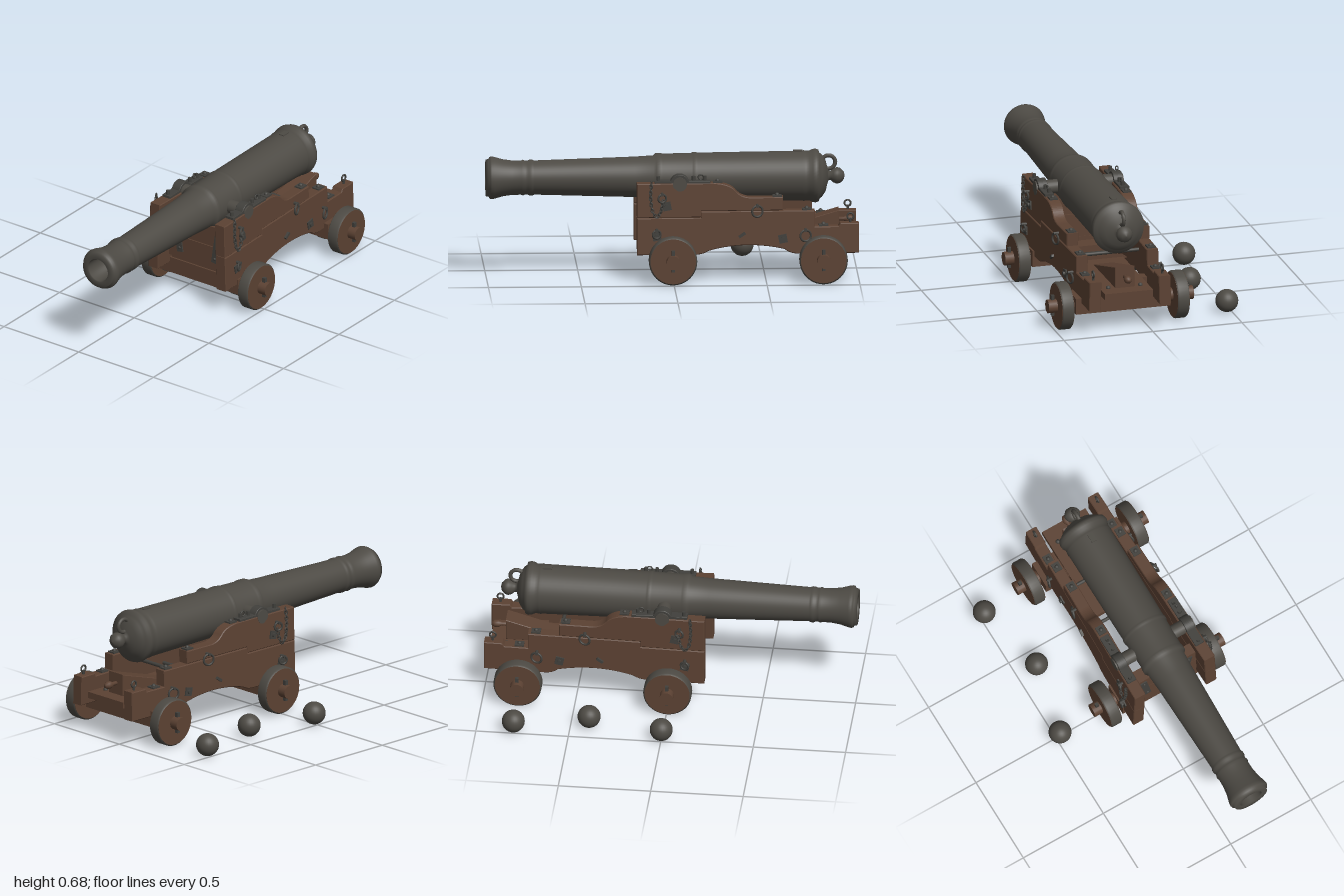
import * as THREE from 'three';

const wood = new THREE.MeshStandardMaterial({ color: 0x5c4233 });
wood.name = 'brown wood';
const iron = new THREE.MeshStandardMaterial({ color: 0x4d4a44 });
iron.name = 'grey iron';
const fitting = new THREE.MeshStandardMaterial({ color: 0x41403c });
fitting.name = 'dark iron';

const CX = 0.128, AXIS = 0.532, HALF = 0.033;

// Distance of a cheek's middle from the centre plane: cheeks taper to the rear and lean inwards
const lean = (y, z) => 0.198 + 0.025 * (z + 1) - 0.03 * (y - 0.15);
const outer = (y, z) => lean(y, z) + HALF + 0.003;

function add(parent, name, geometry, material, x = 0, y = 0, z = 0) {
  const mesh = new THREE.Mesh(geometry, material);
  mesh.name = name;
  mesh.position.set(x, y, z);
  parent.add(mesh);
  return mesh;
}
const box = (w, h, d) => new THREE.BoxGeometry(w, h, d);
const rod = (r, length, sides = 16) => new THREE.CylinderGeometry(r, r, length, sides).rotateZ(Math.PI / 2);
const ring = (r, tube) => new THREE.TorusGeometry(r, tube, 8, 20);

// Side profile in (z, y), extruded across x and centred
function profile(shape, width, bevel = 0.004) {
  const g = new THREE.ExtrudeGeometry(shape, {
    depth: width - 2 * bevel, bevelThickness: bevel, bevelSize: bevel, bevelOffset: -bevel, bevelSegments: 1, curveSegments: 10,
  });
  return g.translate(0, 0, -width / 2 + bevel).rotateY(-Math.PI / 2);
}
function cheekBoard(shape, s) {
  const g = profile(shape, HALF * 2), p = g.attributes.position;
  for (let i = 0; i < p.count; i++) p.setX(i, p.getX(i) + s * lean(p.getY(i), p.getZ(i)));
  g.computeVertexNormals();
  return g;
}
function poly(points) {
  return new THREE.Shape(points.map(([z, y]) => new THREE.Vector2(z, y)));
}

function buildBarrel(parent) {
  const outline = [
    [0, -0.932], [0.022, -0.926], [0.04, -0.908], [0.045, -0.89], [0.038, -0.87], [0.026, -0.857], [0.026, -0.845],
    [0.045, -0.838], [0.085, -0.828], [0.115, -0.808], [0.124, -0.795], [0.14, -0.79], [0.145, -0.775], [0.143, -0.757],
    [0.134, -0.74], [0.134, -0.72], [0.137, -0.71], [0.134, -0.7], [0.13, -0.3], [0.128, -0.14], [0.132, -0.13],
    [0.132, -0.115], [0.127, -0.105], [0.124, 0.05], [0.128, 0.06], [0.128, 0.085], [0.115, 0.1], [0.109, 0.2],
    [0.092, 0.74], [0.097, 0.75], [0.097, 0.765], [0.092, 0.775], [0.092, 0.79], [0.097, 0.8], [0.092, 0.81],
    [0.093, 0.86], [0.1, 0.91], [0.113, 0.955], [0.115, 0.97], [0.112, 0.98], [0.101, 0.985], [0.099, 1.0],
    [0.068, 1.0], [0.064, 0.995], [0.062, 0.8], [0, 0.8],
  ].map(([r, z]) => new THREE.Vector2(r, z));
  add(parent, 'barrel', new THREE.LatheGeometry(outline, 48).rotateX(Math.PI / 2), iron, 0, AXIS, 0);
  add(parent, 'trunnions', rod(0.038, 0.49, 24), iron, 0, AXIS, -0.035);
  add(parent, 'breechRing', ring(0.036, 0.011).rotateY(Math.PI / 2), iron, 0, 0.606, -0.845);
  add(parent, 'ventPatch', box(0.03, 0.01, 0.05), iron, 0, 0.666, -0.68);
}

function buildWheels(parent) {
  for (const z of [0.005, -0.805]) {
    add(parent, 'axleBeam', box(0.53, 0.09, 0.15), wood, 0, 0.137, z + 0.012);
    add(parent, 'axle', rod(0.037, 0.815, 20), wood, 0, 0.133, z);
    for (const s of [-1, 1]) {
      const wheel = new THREE.LatheGeometry([[0.122, -0.033], [0.13, -0.026], [0.13, 0.026], [0.122, 0.033]]
        .map(([r, h]) => new THREE.Vector2(r, h)), 40).rotateZ(Math.PI / 2);
      add(parent, 'wheelTread', wheel, iron, s * 0.324, 0.131, z);
      add(parent, 'wheelDisc', rod(0.1225, 0.067, 40), wood, s * 0.324, 0.131, z);
      add(parent, 'axlePin', box(0.018, 0.115, 0.018), fitting, s * 0.377, 0.137, z);
      add(parent, 'axleBracket', box(0.05, 0.075, 0.08), fitting, s * (lean(0.15, z) + 0.005), 0.115, z + 0.03);
    }
  }
}

function buildCheek(parent, s) {
  // Lower board with arched underside
  const low = new THREE.Shape();
  low.moveTo(0.195, 0.15);
  low.lineTo(0.195, 0.35);
  low.lineTo(-0.15, 0.35);
  low.lineTo(-0.15, 0.383);
  low.lineTo(-0.762, 0.383);
  low.lineTo(-0.762, 0.295);
  low.lineTo(-0.89, 0.295);
  low.lineTo(-0.9, 0.312);
  low.lineTo(-1.0, 0.312);
  low.lineTo(-1.0, 0.15);
  low.lineTo(-0.66, 0.15);
  low.quadraticCurveTo(-0.62, 0.155, -0.6, 0.175);
  low.quadraticCurveTo(-0.39, 0.225, -0.19, 0.17);
  low.quadraticCurveTo(-0.16, 0.15, -0.12, 0.15);
  low.closePath();
  add(parent, 'lowerCheek', cheekBoard(low, s), wood);

  // Upper board stepping down to the rear
  const up = new THREE.Shape();
  up.moveTo(0.195, 0.353);
  up.lineTo(0.195, 0.537);
  up.lineTo(-0.23, 0.537);
  up.quadraticCurveTo(-0.31, 0.53, -0.34, 0.49);
  up.quadraticCurveTo(-0.37, 0.457, -0.42, 0.457);
  up.lineTo(-0.592, 0.457);
  up.lineTo(-0.592, 0.386);
  up.lineTo(-0.153, 0.386);
  up.lineTo(-0.153, 0.353);
  up.closePath();
  add(parent, 'upperCheek', cheekBoard(up, s), wood);

  // Trunnion cap: flat strap with an arch
  const cap = new THREE.Shape();
  cap.moveTo(0.1, 0.535);
  cap.lineTo(0.1, 0.55);
  cap.lineTo(0.012, 0.55);
  cap.absarc(-0.035, AXIS, 0.052, 0.35, Math.PI - 0.35, false);
  cap.lineTo(-0.2, 0.55);
  cap.lineTo(-0.2, 0.535);
  cap.closePath();
  add(parent, 'trunnionCap', profile(cap, 0.052, 0.002), fitting, s * lean(0.54, 0));
  for (const z of [0.08, -0.11, -0.17]) {
    add(parent, 'capBolt', new THREE.CylinderGeometry(0.01, 0.01, 0.025, 10), fitting, s * lean(0.54, z), 0.56, z);
  }
  add(parent, 'capEye', ring(0.014, 0.004).rotateY(Math.PI / 2), fitting, s * lean(0.54, -0.15), 0.566, -0.15);

  // Plates and bolt heads on the stepped top edge
  for (const [y, z] of [[0.538, -0.24], [0.458, -0.56], [0.384, -0.72], [0.296, -0.81]]) {
    add(parent, 'topPlate', box(0.045, 0.008, 0.05), fitting, s * lean(y, z), y + 0.003, z);
    add(parent, 'topBolt', new THREE.SphereGeometry(0.012, 10, 8), fitting, s * lean(y, z), y + 0.008, z);
  }
  add(parent, 'rearEyeStem', new THREE.CylinderGeometry(0.007, 0.007, 0.03, 8), fitting, s * lean(0.31, -0.955), 0.32, -0.955);
  add(parent, 'rearEye', ring(0.017, 0.005).rotateY(Math.PI / 2), fitting, s * lean(0.31, -0.955), 0.345, -0.955);

  // Outer face: bolt plates, hanging rings and a cleat
  for (const [y, z] of [[0.252, 0.09], [0.415, 0.035], [0.232, -0.59]]) {
    add(parent, 'boltPlate', box(0.008, 0.046, 0.046).rotateX(0.2), fitting, s * outer(y, z), y, z);
    add(parent, 'boltHead', rod(0.012, 0.028, 8), fitting, s * outer(y, z), y, z);
  }
  for (const [y, z, r] of [[0.46, 0.06, 0.022], [0.385, -0.452, 0.03], [0.25, -0.712, 0.03], [0.265, 0.09, 0.022]]) {
    add(parent, 'sideRing', ring(r, 0.006).rotateY(Math.PI / 2 + s * 0.3), fitting, s * (outer(y, z) + 0.014), y, z);
    add(parent, 'ringEye', rod(0.009, 0.035, 8), fitting, s * (outer(y, z) + 0.008), y + r, z);
  }
  add(parent, 'cleat', box(0.02, 0.014, 0.04).rotateX(0.6), fitting, s * outer(0.255, -0.37), 0.255, -0.37);

  // Pin chain drooping beside the trunnion
  const path = new THREE.CatmullRomCurve3([[0.55, 0.118], [0.46, 0.122], [0.385, 0.11], [0.362, 0.09], [0.385, 0.07], [0.45, 0.055]]
    .map(([y, z]) => new THREE.Vector3(s * (outer(y, z) + 0.012), y, z)));
  const chain = new THREE.Group();
  chain.name = 'chain';
  const count = 18;
  for (let i = 0; i < count; i++) {
    const t = (i + 0.5) / count, p = path.getPointAt(t);
    const link = add(chain, 'chainLink', new THREE.TorusGeometry(0.0095, 0.0032, 6, 12).scale(1.3, 0.85, 1), fitting, p.x, p.y, p.z);
    link.quaternion.setFromUnitVectors(new THREE.Vector3(1, 0, 0), path.getTangentAt(t));
    link.rotateX((i % 2) * Math.PI / 2 + 0.4);
  }
  parent.add(chain);
}

function buildBed(parent) {
  // Front transom: two boards, flaring towards the bottom
  for (const [y0, y1] of [[0.203, 0.333], [0.337, 0.455]]) {
    const g = box(2, y1 - y0, 0.06).translate(0, (y0 + y1) / 2, 0.07), p = g.attributes.position;
    for (let i = 0; i < p.count; i++) p.setX(i, p.getX(i) * (lean(p.getY(i), 0.07) - HALF + 0.005));
    add(parent, 'frontTransom', g, wood);
  }
  add(parent, 'transomSill', box(0.37, 0.03, 0.045), wood, 0, 0.19, 0.06);
  for (const s of [-1, 1]) {
    for (const z of [0.103, 0.037]) {
      add(parent, 'transomStrap', box(0.038, 0.19, 0.008), fitting, s * 0.128, 0.337, z).rotation.z = -s * 0.15;
      for (const d of [-0.07, 0.07]) {
        add(parent, 'strapBolt', new THREE.SphereGeometry(0.01, 10, 8), fitting, s * (0.128 + d * 0.15), 0.337 + d, z);
      }
    }
  }
  // Stool bed, quoin wedge with handle, and cross bolts
  add(parent, 'stoolBed', box(0.27, 0.035, 0.56), wood, 0, 0.215, -0.7);
  add(parent, 'rearTransom', box(0.35, 0.07, 0.06), wood, 0, 0.19, -0.72);
  add(parent, 'quoin', profile(poly([[-0.5, 0.232], [-0.9, 0.232], [-0.9, 0.352], [-0.5, 0.235]]), 0.11, 0.003), wood);
  const handle = [[0, -0.05], [0.012, -0.05], [0.01, -0.02], [0.02, 0], [0.02, 0.02], [0.012, 0.035], [0, 0.037]]
    .map(([r, h]) => new THREE.Vector2(r, h));
  add(parent, 'quoinHandle', new THREE.LatheGeometry(handle, 16).rotateX(-Math.PI / 2), wood, 0, 0.295, -0.945);
  for (const s of [-1, 1]) {
    add(parent, 'bedBolt', new THREE.SphereGeometry(0.013, 10, 8), fitting, s * 0.09, 0.235, -0.89);
  }
  for (const [y, z] of [[0.33, -0.595], [0.25, -0.37]]) add(parent, 'crossBolt', rod(0.01, 0.44, 10), fitting, 0, y, z);
}

export function createModel() {
  const model = new THREE.Group();
  model.name = 'shipCannon';
  const cannon = new THREE.Group();
  cannon.name = 'cannonAndCarriage';
  cannon.position.x = CX;
  model.add(cannon);
  buildBarrel(cannon);
  buildWheels(cannon);
  for (const s of [-1, 1]) buildCheek(cannon, s);
  buildBed(cannon);
  // Spare shot on the ground
  for (const [x, z] of [[-0.475, 0], [-0.385, -0.4], [-0.475, -0.8]]) {
    add(model, 'cannonball', new THREE.SphereGeometry(0.062, 28, 18), iron, x, 0.063, z);
  }
  return model;
}
